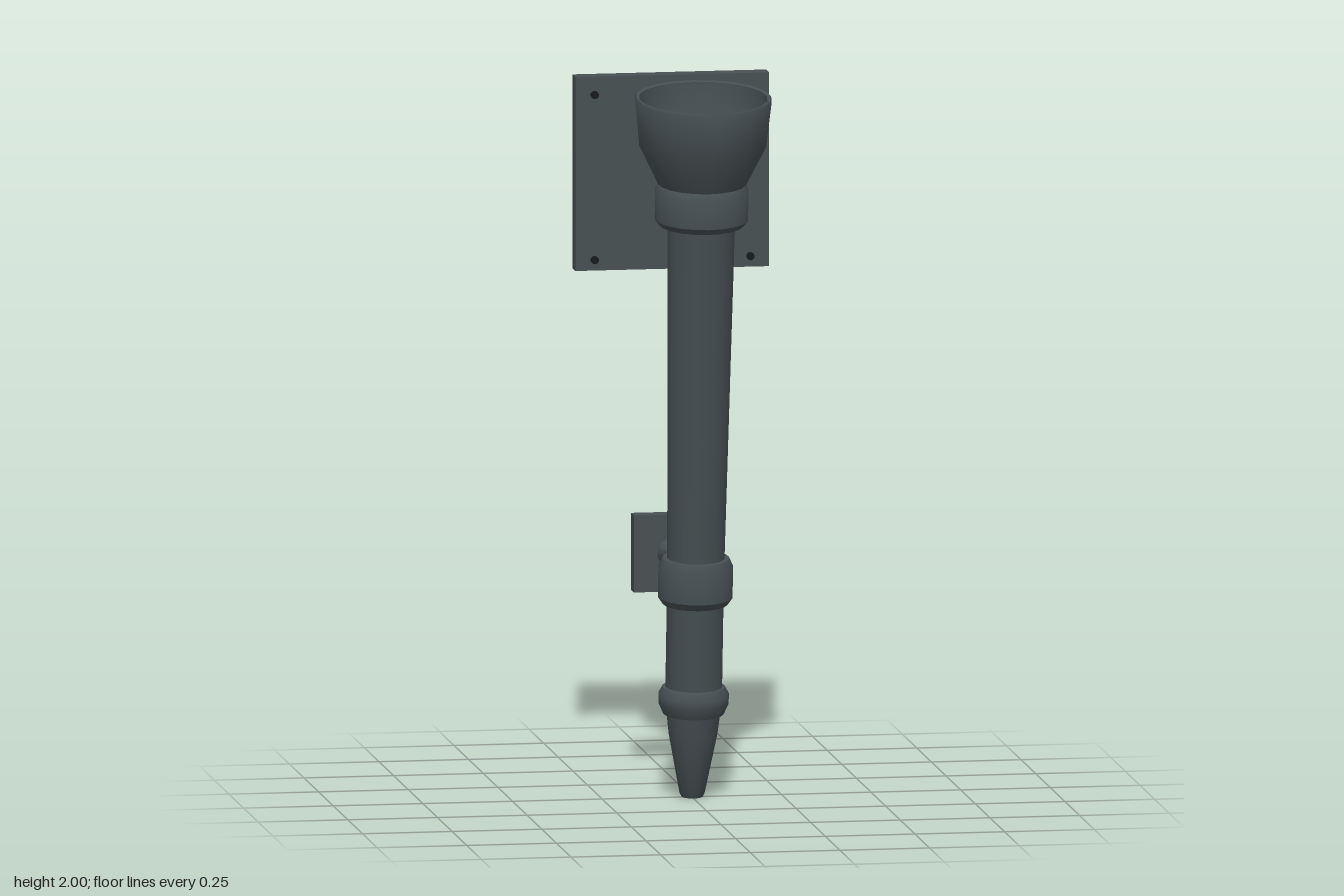
import * as THREE from 'three';
import { toCreasedNormals } from 'three/addons/utils/BufferGeometryUtils.js';

const iron = new THREE.MeshStandardMaterial({ color: 0x475053, side: THREE.DoubleSide });
const dark = new THREE.MeshStandardMaterial({ color: 0x16191a });

// Lathe from [radius, height] pairs, keeping hard edges sharp
function turned(name, pairs, segments = 20) {
  const points = pairs.map(([r, y]) => new THREE.Vector2(r, y));
  const geometry = toCreasedNormals(new THREE.LatheGeometry(points, segments), 0.6);
  const mesh = new THREE.Mesh(geometry, iron);
  mesh.name = name;
  return mesh;
}

// Wall plate: a thin shell, open at the back
function plateShell(w, h, depth) {
  const box = new THREE.BoxGeometry(w, h, depth);
  const index = Array.from(box.index.array).slice(0, 30); // leave out the -z face
  box.setIndex(index);
  return box;
}

// Plate, screws and the rod reaching to the shaft
function makeBracket(name, w, h, plateY, rodY, rodEndZ, screws) {
  const bracket = new THREE.Group();
  bracket.name = name;

  const plate = new THREE.Mesh(plateShell(w, h, 0.052), iron);
  plate.name = 'wallPlate';
  plate.position.set(0, plateY, -0.359);
  bracket.add(plate);

  const length = rodEndZ + 0.333;
  const rod = turned('rod', [
    [0.042, 0], [0.042, 0.006], [0.026, 0.03], [0.026, length], [0, length],
  ], 16);
  rod.rotation.x = Math.PI / 2;
  rod.position.set(0, rodY, -0.333);
  bracket.add(rod);

  for (const [x, y] of screws) {
    const screw = new THREE.Mesh(new THREE.CylinderGeometry(0.011, 0.011, 0.014, 10), dark);
    screw.name = 'screw';
    screw.rotation.x = Math.PI / 2;
    screw.position.set(x, y, -0.329);
    bracket.add(screw);
  }
  return bracket;
}

export function createModel() {
  const model = new THREE.Group();
  model.name = 'wallTorch';

  // Torch, leaning forward from its tip
  const torch = new THREE.Group();
  torch.name = 'torch';
  torch.position.set(0, 0.003, 0.003);
  torch.rotation.x = 0.0985;
  torch.add(
    turned('tip', [[0, 0], [0.03, 0], [0.035, 0.01], [0.068, 0.18], [0.075, 0.24]]),
    turned('lowerRing', [
      [0.07, 0.235], [0.084, 0.236], [0.098, 0.268], [0.098, 0.29], [0.086, 0.312], [0.07, 0.314],
    ]),
    turned('shaft', [[0.079, 0.24], [0.079, 0.62], [0.094, 1.64]]),
    turned('middleRing', [
      [0.075, 0.548], [0.09, 0.548], [0.104, 0.568], [0.104, 0.652], [0.092, 0.678], [0.075, 0.678],
    ]),
    turned('collar', [
      [0.085, 1.625], [0.117, 1.625], [0.13, 1.642], [0.13, 1.722], [0.12, 1.74], [0.1, 1.74],
    ]),
    turned('cup', [
      [0.1, 1.738], [0.122, 1.742], [0.177, 1.855], [0.19, 1.98], [0.187, 1.987],
      [0.178, 1.985], [0.165, 1.865], [0.13, 1.8], [0.07, 1.775], [0, 1.77],
    ]),
  );
  model.add(torch);

  // Wall brackets
  const corners = [];
  for (const x of [-0.217, 0.217]) for (const y of [1.45, 1.91]) corners.push([x, y]);
  model.add(
    makeBracket('upperBracket', 0.54, 0.54, 1.69, 1.688, 0.1, corners),
    makeBracket('lowerBracket', 0.214, 0.214, 0.627, 0.628, 0.03, [[0, 0.545]]),
  );
  return model;
}
